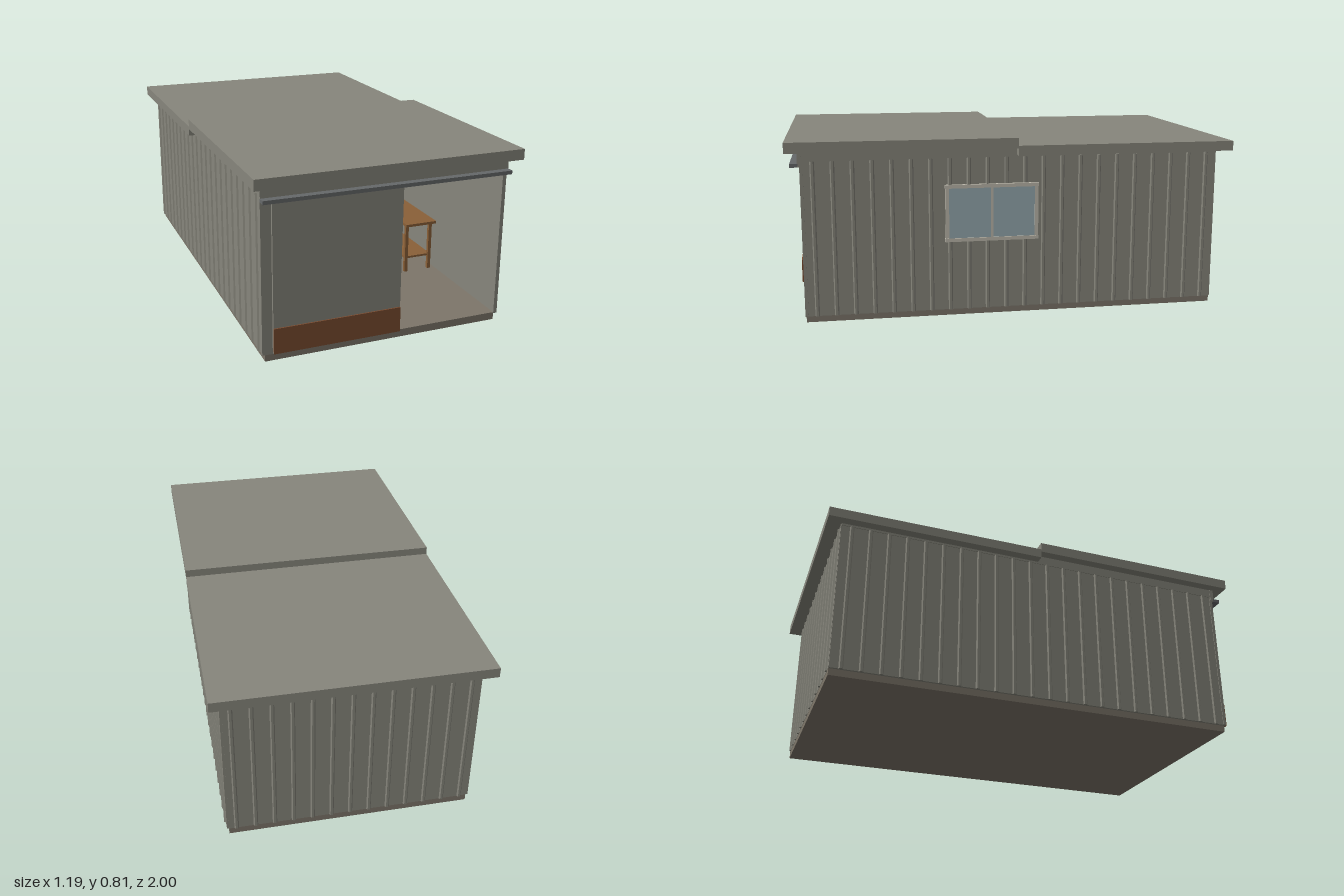
import * as THREE from 'three';

const mat = (color) => new THREE.MeshStandardMaterial({ color });
const M = {
  wall: mat(0x87867c), roof: mat(0x87867c), floor: mat(0x7d766a), metal: mat(0x66696a),
  frame: mat(0xbdb9ac), glass: mat(0x95aab0), wood: mat(0x8a6038), kick: mat(0x7a4c30),
};

// Box given by its lower and upper limits on each axis
function box(parent, name, material, [x0, x1], [y0, y1], [z0, z1]) {
  const mesh = new THREE.Mesh(new THREE.BoxGeometry(x1 - x0, y1 - y0, z1 - z0), material);
  mesh.position.set((x0 + x1) / 2, (y0 + y1) / 2, (z0 + z1) / 2);
  mesh.name = name;
  parent.add(mesh);
  return mesh;
}

// Upright sheet with raised trapezoid ribs, facing -z
function ribbedWall(name, length, ribs, pitch, height) {
  const base = 0.01, rib = 0.017, h = length / 2;
  const shape = new THREE.Shape();
  shape.moveTo(-h, 0);
  shape.lineTo(h, 0);
  shape.lineTo(h, base);
  for (let i = ribs - 1; i >= 0; i--) {
    const u = (i - (ribs - 1) / 2) * pitch;
    shape.lineTo(u + 0.01, base);
    shape.lineTo(u + 0.005, rib);
    shape.lineTo(u - 0.005, rib);
    shape.lineTo(u - 0.01, base);
  }
  shape.lineTo(-h, base);
  const geo = new THREE.ExtrudeGeometry(shape, { depth: height, bevelEnabled: false });
  geo.rotateX(-Math.PI / 2);
  const mesh = new THREE.Mesh(geo, M.wall);
  mesh.name = name;
  return mesh;
}

export function createModel() {
  const shed = new THREE.Group();
  shed.name = 'shed';

  // Floor slab and the two stepped roof slabs
  box(shed, 'floorSlab', M.floor, [-0.54, 0.54], [0, 0.034], [-0.937, 0.935]);
  box(shed, 'frontRoof', M.roof, [-0.595, 0.595], [0.76, 0.807], [-0.005, 1]);
  box(shed, 'rearRoof', M.roof, [-0.595, 0.595], [0.728, 0.772], [-1, -0.005]);

  // Ribbed side and back walls
  for (const s of [-1, 1]) {
    const side = ribbedWall(s > 0 ? 'leftWall' : 'rightWall', 1.872, 22, 0.0845, 0.69);
    side.rotation.y = -s * Math.PI / 2;
    side.position.set(s * 0.54, 0.03, -0.001);
    shed.add(side);
    const x = [s * 0.539, s * 0.553].sort((a, b) => a - b);
    box(shed, 'upperSideBand', M.wall, x, [0.718, 0.762], [-0.005, 0.935]);
    box(shed, 'rearSideBand', M.wall, x, [0.718, 0.73], [-0.937, -0.005]);
  }
  const back = ribbedWall('backWall', 1.08, 13, 0.0845, 0.69);
  back.position.set(0, 0.03, -0.928);
  shed.add(back);
  box(shed, 'rearBand', M.wall, [-0.54, 0.54], [0.718, 0.73], [-0.938, -0.926]);

  // Front wall: fixed half, right jamb and header
  box(shed, 'fixedFrontPanel', M.wall, [-0.553, -0.03], [0.031, 0.71], [0.925, 0.939]);
  box(shed, 'frontJamb', M.wall, [0.538, 0.555], [0.031, 0.71], [0.925, 0.939]);
  box(shed, 'header', M.wall, [-0.555, 0.555], [0.695, 0.762], [0.93, 0.948]);

  // Sliding door hung from its rail
  const door = new THREE.Group();
  door.name = 'slidingDoor';
  shed.add(door);
  box(door, 'doorLeaf', M.wall, [-0.512, 0.055], [0.045, 0.7], [0.952, 0.964]);
  box(door, 'kickPanel', M.kick, [-0.512, 0.055], [0.045, 0.158], [0.964, 0.97]);
  box(door, 'doorRail', M.metal, [-0.555, 0.555], [0.695, 0.711], [0.945, 0.98]);

  // Two-pane side window
  const win = new THREE.Group();
  win.name = 'sideWindow';
  shed.add(win);
  box(win, 'windowPane', M.glass, [0.545, 0.559], [0.35, 0.595], [-0.095, 0.31]);
  for (const y of [0.352, 0.593]) box(win, 'windowRail', M.frame, [0.545, 0.564], [y - 0.008, y + 0.008], [-0.104, 0.318]);
  for (const z of [-0.094, 0.308]) box(win, 'windowStile', M.frame, [0.545, 0.563], [0.35, 0.595], [z - 0.008, z + 0.008]);
  box(win, 'windowMullion', M.frame, [0.545, 0.562], [0.35, 0.595], [0.102, 0.113]);

  // Workbench under the window with a toolbox on top
  const bench = new THREE.Group();
  bench.name = 'workbench';
  shed.add(bench);
  box(bench, 'benchTop', M.wood, [0.37, 0.532], [0.273, 0.286], [-0.2, 0.4]);
  box(bench, 'benchShelf', M.wood, [0.376, 0.514], [0.101, 0.111], [-0.18, 0.38]);
  for (const x of [0.381, 0.508])
    for (const z of [-0.18, 0.38])
      box(bench, 'benchLeg', M.wood, [x - 0.008, x + 0.008], [0.034, 0.273], [z - 0.008, z + 0.008]);
  box(bench, 'toolbox', M.metal, [0.395, 0.452], [0.286, 0.319], [0.05, 0.17]);

  return shed;
}
